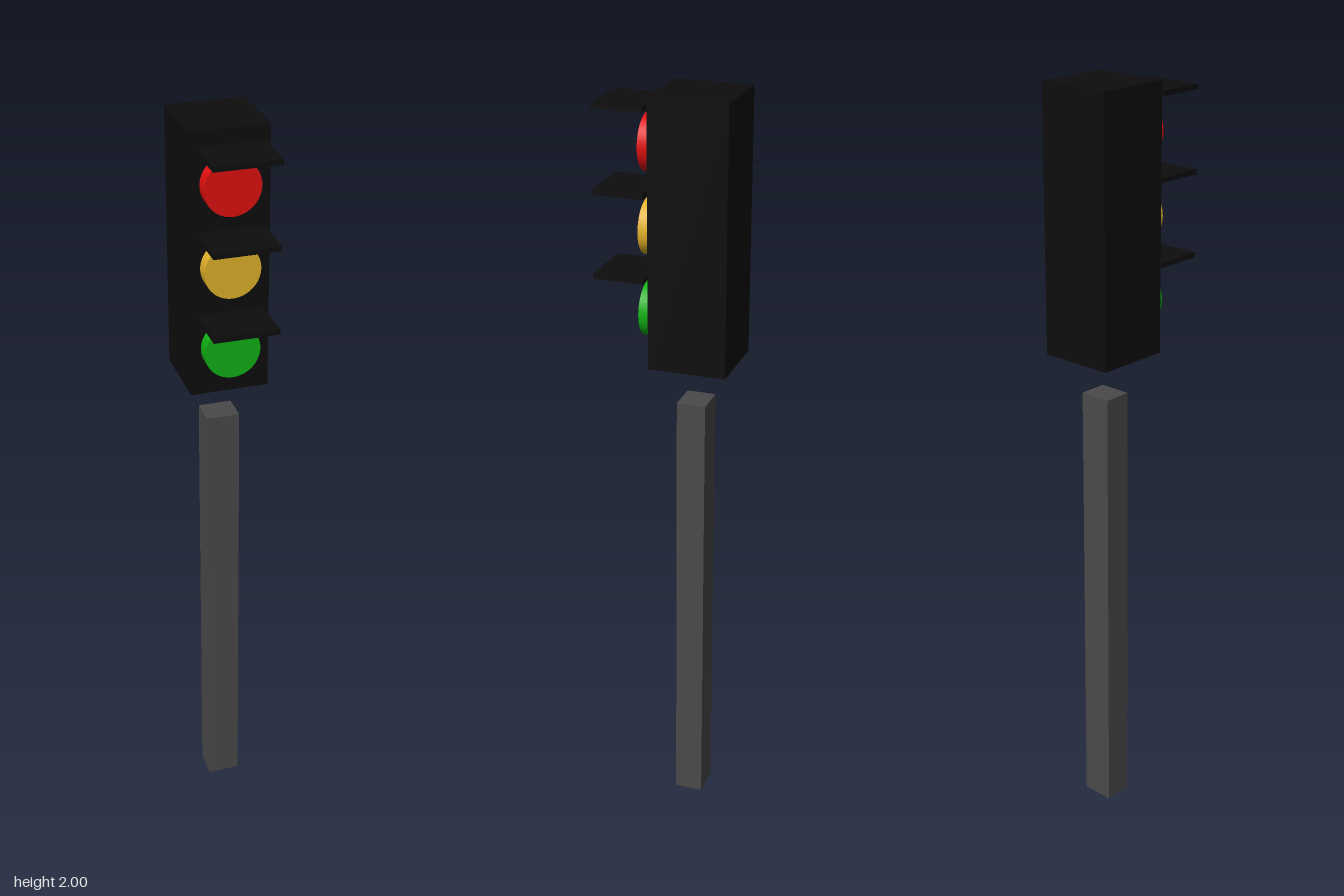
import * as THREE from 'three';

export function createModel() {
  const group = new THREE.Group();
  const mat = (color) => new THREE.MeshStandardMaterial({ color });
  const black = mat(0x0d0d0d);

  const add = (name, geometry, material, x, y, z) => {
    const mesh = new THREE.Mesh(geometry, material);
    mesh.name = name;
    mesh.position.set(x, y, z);
    group.add(mesh);
  };

  // Square post, ending just short of the signal head
  add('post', new THREE.BoxGeometry(0.087, 1.206, 0.076), mat(0x4a4a4a), 0.001, 0.603, -0.07);

  // Signal head
  add('housing', new THREE.BoxGeometry(0.202, 0.685, 0.202), black, 0, 1.6575, -0.076);

  // Lamps, each with a flat visor floating above it
  const lampGeometry = new THREE.CylinderGeometry(0.0715, 0.0715, 0.05, 48).rotateX(Math.PI / 2);
  const visorGeometry = new THREE.BoxGeometry(0.167, 0.013, 0.131);
  const lamps = [
    ['red', 0xe01010, 1.867],
    ['amber', 0xe0b02a, 1.656],
    ['green', 0x10b014, 1.441],
  ];
  for (const [name, color, y] of lamps) {
    add(`${name}Lamp`, lampGeometry, mat(color), -0.003, y, 0.037);
    add(`${name}Visor`, visorGeometry, black, -0.003, y + 0.095, 0.11);
  }

  return group;
}
